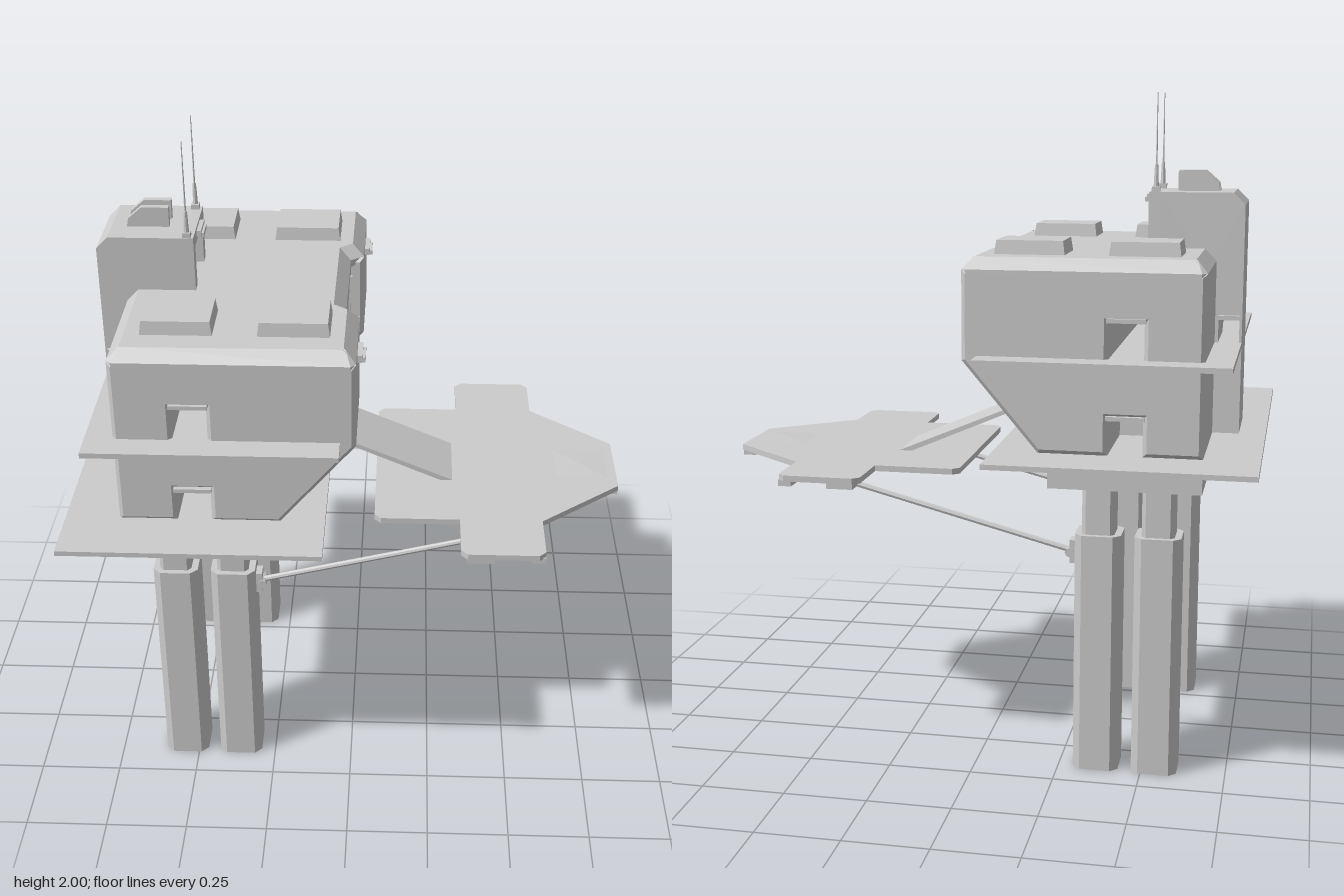
import * as THREE from 'three';

const mat = new THREE.MeshStandardMaterial({ color: 0xcccccc, flatShading: true });

export function createModel() {
  const root = new THREE.Group();

  const add = (name, geo) => {
    const m = new THREE.Mesh(geo, mat);
    m.name = name;
    root.add(m);
    return m;
  };
  // Box given by its limits; inset narrows the top
  const box = (name, x0, x1, y0, y1, z0, z1, inset = 0) => {
    const g = new THREE.BoxGeometry(x1 - x0, y1 - y0, z1 - z0);
    const p = g.attributes.position;
    for (let i = 0; i < p.count; i++) {
      if (p.getY(i) > 0) {
        p.setX(i, p.getX(i) - Math.sign(p.getX(i)) * inset);
        p.setZ(i, p.getZ(i) - Math.sign(p.getZ(i)) * inset);
      }
    }
    g.translate((x0 + x1) / 2, (y0 + y1) / 2, (z0 + z1) / 2);
    return add(name, g);
  };
  const shape = (pts, holes = []) => {
    const s = new THREE.Shape(pts.map(p => new THREE.Vector2(...p)));
    for (const h of holes) s.holes.push(new THREE.Path(h.map(p => new THREE.Vector2(...p))));
    return s;
  };
  const rect = (a, b, c, d) => [[a, c], [b, c], [b, d], [a, d]];
  const extrude = (s, depth, bevel = 0) => new THREE.ExtrudeGeometry(s, {
    depth: depth - 2 * bevel, bevelEnabled: bevel > 0, bevelSegments: 1,
    bevelSize: bevel, bevelThickness: bevel, bevelOffset: -bevel,
  }).translate(0, 0, bevel);
  // Side profile (x, y) extruded from z0 to z1
  const side = (name, s, z0, z1, bevel) => add(name, extrude(s, z1 - z0, bevel).translate(0, 0, z0));
  // Plan outline (x, z) extruded from y0 to y1
  const plan = (name, pts, y0, y1, bevel) =>
    add(name, extrude(shape(pts.map(([x, z]) => [x, -z])), y1 - y0, bevel)
      .rotateX(-Math.PI / 2).translate(0, y0, 0));
  // Completes a half outline by mirroring it across z = 0
  const mirrorZ = half => [...half, ...half.slice().reverse().map(([x, z]) => [x, -z])];
  const rod = (name, a, b, r) => {
    const A = new THREE.Vector3(...a), B = new THREE.Vector3(...b);
    const d = B.clone().sub(A);
    const m = add(name, new THREE.CylinderGeometry(r, r, d.length(), 8));
    m.position.copy(A).add(B).multiplyScalar(0.5);
    m.quaternion.setFromUnitVectors(new THREE.Vector3(0, 1, 0), d.normalize());
    return m;
  };

  // Decks
  box('basePlate', -0.83, -0.07, 0.975, 0.99, -0.675, 0.675);
  box('baseBeam', -0.67, -0.23, 0.89, 0.98, -0.51, 0.51);
  box('catwalk', -0.75, -0.025, 1.25, 1.266, -0.59, 0.59);

  // Side blocks with a window tunnel and a doorway notch
  const win = rect(-0.5, -0.4, 1.266, 1.37);
  const blockShape = shape([[-0.67, 0.99], [-0.5, 0.99], [-0.5, 1.1], [-0.4, 1.1], [-0.4, 0.99],
    [-0.2, 0.99], [0.02, 1.25], [0.02, 1.51], [-0.67, 1.51]], [win]);
  for (const s of [-1, 1]) {
    side('sideBlock', blockShape, s > 0 ? 0.19 : -0.51, s > 0 ? 0.51 : -0.19, 0.012);
    const zc = s * 0.51;
    box('windowHood', -0.505, -0.395, 1.37, 1.382, zc - 0.01, zc + 0.01);
    box('doorHood', -0.505, -0.395, 1.094, 1.106, zc - 0.01, zc + 0.01);
    box('frontLampHousing', 0.015, 0.035, 1.465, 1.487, s * 0.36 - 0.042, s * 0.36 + 0.042);
    box('frontLamp', 0.03, 0.043, 1.462, 1.476, s * 0.36 - 0.032, s * 0.36 + 0.032);
  }

  // Recessed centre bay
  side('centreBay', shape([[-0.67, 0.99], [-0.3, 0.99], [-0.3, 1.25], [-0.06, 1.25],
    [-0.06, 1.51], [-0.67, 1.51]], [win]), -0.21, 0.21, 0);
  box('doorLintel', -0.3, -0.1, 1.17, 1.25, -0.11, 0.11);

  // Vent panel with four slots
  const slots = [];
  for (let i = 0; i < 4; i++) {
    const z = -0.09 + i * 0.06;
    slots.push(rect(z - 0.018, z + 0.018, 1.305, 1.475));
  }
  add('ventPanel', extrude(shape(rect(-0.2, 0.2, 1.25, 1.5), slots), 0.04)
    .rotateY(Math.PI / 2).translate(-0.06, 0, 0));
  for (const s of [-1, 1]) box('ventFrameSide', -0.025, -0.013, 1.3, 1.48, s * 0.131 - 0.006, s * 0.131 + 0.006);

  // Roof with sloping rim and front notch
  plan('roof', mirrorZ([[-0.02, 0.18], [0.0, 0.195], [0.02, 0.21], [0.02, 0.495], [0.005, 0.51],
    [-0.655, 0.51], [-0.67, 0.495]]), 1.455, 1.545, 0.035);
  for (const x of [-0.59, -0.26])
    for (const s of [-1, 1])
      box('roofHatch', x, x + 0.205, 1.54, 1.585, s * 0.327 - 0.08, s * 0.327 + 0.08, 0.006);

  // Rear tower with a walkway passage
  side('tower', shape([[-0.75, 0.99], [-0.64, 0.99], [-0.64, 1.48], [-0.5, 1.48], [-0.5, 1.71],
    [-0.715, 1.71], [-0.75, 1.675]], [rect(-0.742, -0.68, 1.266, 1.335)]), -0.12, 0.12, 0);
  box('towerLintel', -0.502, -0.465, 1.67, 1.71, -0.12, 0.12);
  for (const s of [-1, 1]) {
    box('towerPost', -0.502, -0.465, 1.5, 1.67, s * 0.1 - 0.02, s * 0.1 + 0.02);
    box('passageHood', -0.742, -0.68, 1.335, 1.348, s * 0.125 - 0.01, s * 0.125 + 0.01);
    // Antenna
    const z = s * 0.105;
    box('antennaFoot', -0.497, -0.473, 1.705, 1.725, z - 0.012, z + 0.012);
    add('antennaBase', new THREE.CylinderGeometry(0.005, 0.008, 0.07, 8)).position.set(-0.485, 1.755, z);
    add('antennaMast', new THREE.CylinderGeometry(0.0015, 0.003, 0.22, 6)).position.set(-0.485, 1.89, z);
    // Sensor side plates
    side('sensorPlate', shape([[-0.67, 1.71], [-0.545, 1.71], [-0.545, 1.77], [-0.625, 1.77],
      [-0.665, 1.735]]), s * 0.028 - 0.01, s * 0.028 + 0.01, 0);
  }
  box('sensorBody', -0.65, -0.55, 1.7, 1.75, -0.04, 0.04, 0.012);
  box('towerLampHousing', -0.47, -0.452, 1.68, 1.7, -0.042, 0.042);
  box('towerLamp', -0.46, -0.445, 1.677, 1.69, -0.034, 0.034);

  // Legs: wide chamfered sleeves with slimmer upper columns
  const legOutline = (cx, cz, h, c) => [[-h, -h + c], [-h, h - c], [-h + c, h], [h - c, h],
    [h, h - c], [h, -h + c], [h - c, -h], [-h + c, -h]].map(([x, z]) => [cx + x, cz + z]);
  for (const s of [-1, 1])
    for (const x of [-0.538, -0.362]) {
      plan('lowerLeg', legOutline(x, s * 0.345, 0.068, 0.022), 0, 0.727, 0);
      plan('upperLeg', legOutline(x, s * 0.348, 0.048, 0.012), 0.7, 0.9, 0);
    }

  // Ramp down to the landing pad
  side('ramp', shape([[-0.32, 1.157], [-0.32, 1.145], [0.29, 0.882], [0.31, 0.885], [0.31, 0.891]]),
    -0.11, 0.11, 0);

  // Landing pad
  plan('landingPad', mirrorZ([[0.83, 0.125], [0.58, 0.33], [0.58, 0.49], [0.56, 0.51], [0.35, 0.51],
    [0.33, 0.49], [0.33, 0.33], [0.09, 0.33], [0.07, 0.31]]), 0.872, 0.89, 0);
  box('noseRib', 0.79, 0.83, 0.855, 0.874, -0.12, 0.12);
  add('padMarker', new THREE.ConeGeometry(0.112, 0.004, 4).rotateY(Math.PI / 4))
    .position.set(0.72, 0.892, 0);

  for (const s of [-1, 1]) {
    // Feet under the pad wings
    for (const z of [0.2, 0.48]) box('padFoot', 0.35, 0.43, 0.855, 0.874, s * z - 0.025, s * z + 0.025);
    box('wingRib', 0.54, 0.58, 0.855, 0.874, s * 0.42 - 0.08, s * 0.42 + 0.08);
    // Support strut with end brackets
    const z = s * 0.348;
    rod('supportStrut', [-0.275, 0.665, z], [0.46, 0.855, z], 0.009);
    box('strutBracket', -0.3, -0.275, 0.63, 0.7, z - 0.022, z + 0.022);
    rod('strutPivot', [-0.275, 0.662, z - 0.025], [-0.275, 0.662, z + 0.025], 0.014);
    box('strutMount', 0.43, 0.48, 0.852, 0.874, z - 0.02, z + 0.02);
  }
  return root;
}
